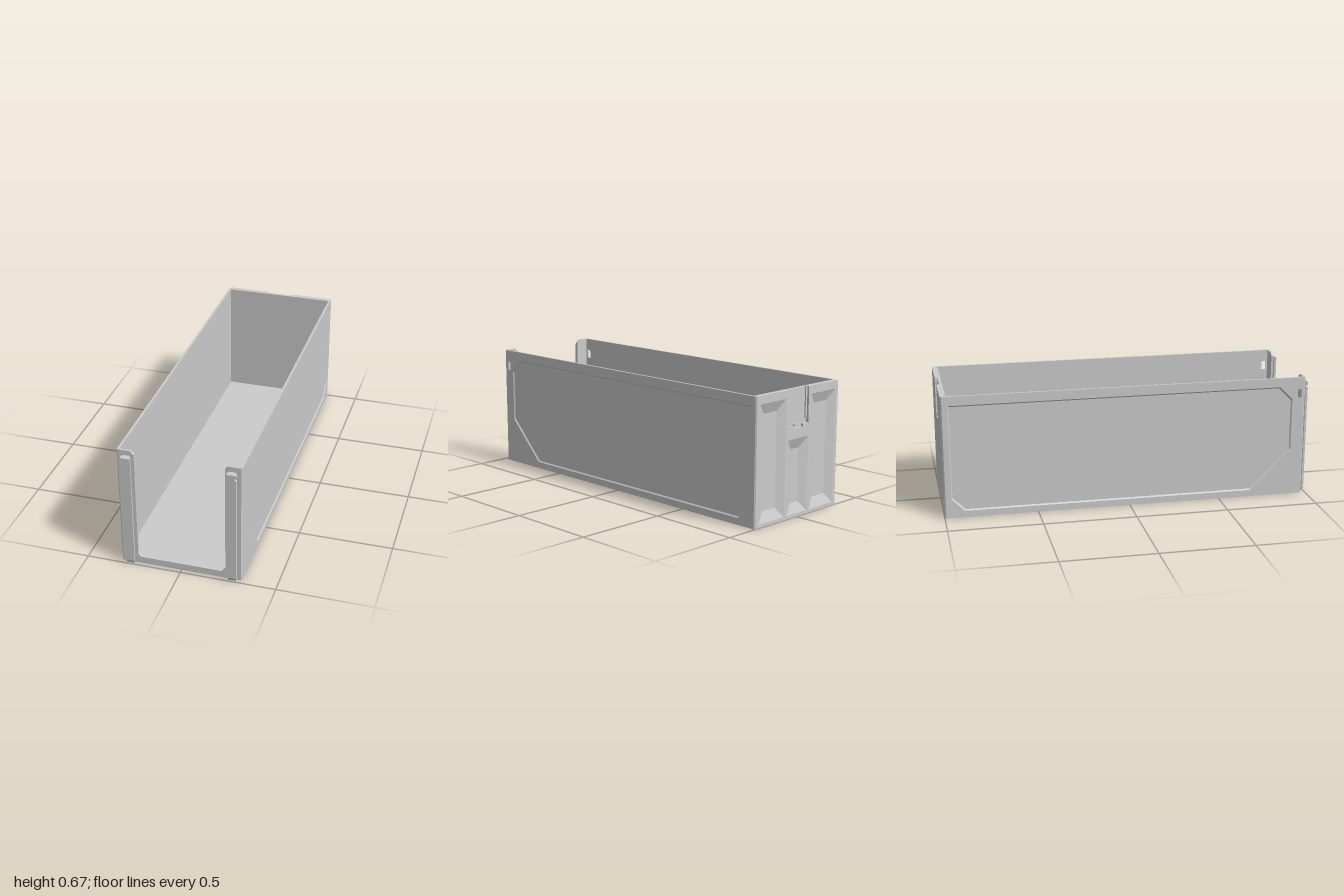
import * as THREE from 'three';

const H = 0.667;   // height
const XI = 0.307, XM = 0.314, XO = 0.32; // side wall: inner face, recess floor, outer face
const ZB = -1, ZF = 0.977;               // back and front faces of the body

const mat = new THREE.MeshStandardMaterial({ color: 0xcccccc, flatShading: true });
const thin = new THREE.MeshStandardMaterial({ color: 0xcccccc, flatShading: true, side: THREE.DoubleSide });

const rect = (x0, y0, x1, y1) => [[x0, y0], [x1, y0], [x1, y1], [x0, y1]];
const vecs = pts => pts.map(p => new THREE.Vector2(p[0], p[1]));

function add(group, name, geo, material = mat) {
  const m = new THREE.Mesh(geo, material);
  m.name = name;
  group.add(m);
  return m;
}

// Flat plate with holes between depths d0 and d1, turned about y
function plate(outline, holes, d0, d1, turn = 0) {
  const shape = new THREE.Shape(vecs(outline));
  holes.forEach(h => shape.holes.push(new THREE.Path(vecs(h))));
  return new THREE.ExtrudeGeometry(shape, { depth: d1 - d0, bevelEnabled: false })
    .translate(0, 0, d0).rotateY(turn);
}

// Shrinks an outline towards the middle of its bounds
function inset(pts, dx, dy) {
  const b = new THREE.Box2().setFromPoints(vecs(pts));
  const c = b.getCenter(new THREE.Vector2()), s = b.getSize(new THREE.Vector2());
  return pts.map(([x, y]) => [c.x + (x - c.x) * (1 - 2 * dx / s.x), c.y + (y - c.y) * (1 - 2 * dy / s.y)]);
}

// Skin joining outlines with equal point counts at given depths
function band(loops, depths, turn = 0) {
  const pos = [];
  for (let k = 0; k + 1 < loops.length; k++) {
    const n = loops[k].length;
    for (let i = 0; i < n; i++) {
      const j = (i + 1) % n;
      const a = [...loops[k][i], depths[k]], b = [...loops[k][j], depths[k]];
      const c = [...loops[k + 1][j], depths[k + 1]], d = [...loops[k + 1][i], depths[k + 1]];
      pos.push(...a, ...b, ...c, ...a, ...c, ...d);
    }
  }
  const g = new THREE.BufferGeometry();
  g.setAttribute('position', new THREE.Float32BufferAttribute(pos, 3));
  g.computeVertexNormals();
  return g.rotateY(turn);
}

// Side wall with a recessed panel and a small window
function sideWall(s) {
  const g = new THREE.Group();
  g.name = s > 0 ? 'leftWall' : 'rightWall';
  const turn = s * Math.PI / 2;
  const map = pts => pts.map(([z, y]) => [-s * z, y]);
  const windowHole = map(rect(0.93, 0.55, 0.955, 0.6));
  const panel = map([[0.905, 0.545], [0.835, 0.617], [-0.963, 0.617], [-0.963, 0.105],
    [-0.893, 0.036], [0.682, 0.036], [0.905, 0.26]]);
  add(g, 'innerSkin', plate(map(rect(ZB, 0, ZF, H)), [windowHole], XI, XM, turn));
  add(g, 'outerSkin', plate(map(rect(ZB + 0.007, 0, ZF - 0.007, H)), [windowHole, panel], XM, XO, turn));
  add(g, 'panelRim', band([panel, inset(panel, 0.007, 0.007)], [XO, XM], turn), thin);
  // Chamfered vertical corners
  for (const [z, k] of [[ZF, 1], [ZB, -1]]) {
    const tri = [[s * XM, -z], [s * XO, -(z - k * 0.007)], [s * XM, -(z - k * 0.007)]];
    add(g, 'cornerChamfer', plate(tri, [], 0, H).rotateX(-Math.PI / 2));
  }
  return g;
}

// Back wall with three sloped pockets and a latch notch
function backWall() {
  const g = new THREE.Group();
  g.name = 'backWall';
  const face = 1, floor = 0.979, turn = Math.PI;
  const tall = s => rect(s * 0.195 - 0.098, 0.018, s * 0.195 + 0.098, 0.625);
  const pockets = [tall(-1), tall(1), rect(-0.08, 0.018, 0.08, 0.41)];
  const outline = [[-XI, 0], [XI, 0], [XI, H], [0.078, H], [0.078, 0.48], [0.035, 0.48], [0.035, 0.465],
    [-0.035, 0.465], [-0.035, 0.48], [-0.078, 0.48], [-0.078, H], [-XI, H]];
  add(g, 'innerPlate', plate(rect(-XI, 0, XI, H), [], 0.97, floor, turn));
  add(g, 'outerPlate', plate(outline, pockets, floor, face, turn));
  add(g, 'notchFloor', plate(rect(-0.078, 0.48, 0.078, H), [], floor, 0.986, turn));
  add(g, 'latchTab', plate(rect(-0.025, 0.47, 0.025, 0.485), [], floor, 0.996, turn));
  for (const s of [-1, 1])
    add(g, 'notchRib', plate(rect(s * 0.068 - 0.005, 0.5, s * 0.068 + 0.005, H), [], floor, 0.993, turn));
  pockets.forEach(p =>
    add(g, 'pocketSlope', band([p, inset(p, 0.05, 0.055)], [face, floor], turn), thin));
  return g;
}

// Front frame: a U with chamfered corners
function frontFrame() {
  const half = [[XI, 0], [XI, H], [0.25, H], [0.232, 0.649], [0.232, 0.055], [0.214, 0.037]];
  return plate([...half, ...half.map(([x, y]) => [-x, y]).reverse()], [], 0.965, ZF);
}

// Dovetail rail outline with a round nick on its outer edge
function railLoop(s, w, wBottom, y0, yShoulder, y1) {
  const pts = [[-wBottom, y0], [wBottom, y0], [w, yShoulder]];
  for (let i = 0; i <= 8; i++) {
    const a = -Math.PI / 2 + Math.PI * i / 8;
    pts.push([w - 0.008 * Math.cos(a), 0.612 + 0.01 * Math.sin(a)]);
  }
  pts.push([w, y1], [-w, y1], [-w, yShoulder]);
  return pts.map(([x, y]) => [s * (0.27 + x), y]);
}

function rail(s) {
  const g = new THREE.Group();
  g.name = s > 0 ? 'leftRail' : 'rightRail';
  const loops = [
    railLoop(s, 0.014, 0.01, 0, 0.02, 0.64),
    railLoop(s, 0.025, 0.018, 0, 0.02, 0.64),
    railLoop(s, 0.025, 0.024, 0.02, 0.022, 0.634)
  ];
  add(g, 'railBody', band(loops, [ZF, 0.988, 1]), thin);
  add(g, 'railFace', new THREE.ShapeGeometry(new THREE.Shape(vecs(loops[2]))).translate(0, 0, 1), thin);
  return g;
}

export function createModel() {
  const model = new THREE.Group();
  model.name = 'openBin';
  const floor = add(model, 'floor', new THREE.BoxGeometry(2 * XI, 0.018, 1.935));
  floor.position.set(0, 0.009, -0.0025);
  model.add(backWall());
  add(model, 'frontFrame', frontFrame());
  for (const s of [-1, 1]) model.add(sideWall(s), rail(s));
  return model;
}
